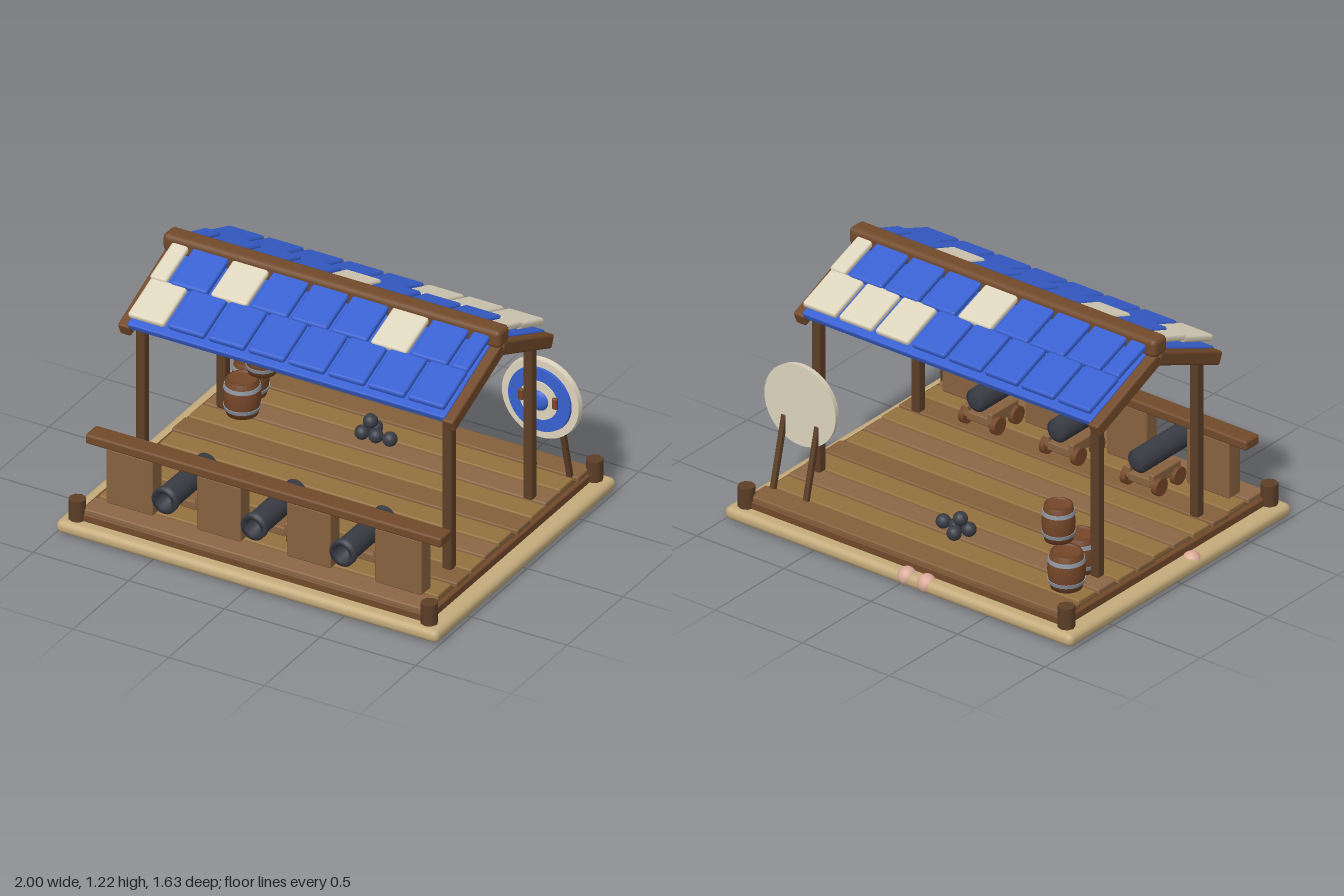
import * as THREE from 'three';
import { RoundedBoxGeometry } from 'three/addons/geometries/RoundedBoxGeometry.js';

const mat = (color) => new THREE.MeshStandardMaterial({ color });
const M = {
  sand: mat(0xc4ab7c), plankA: mat(0x94703f), plankB: mat(0x84603c), plankC: mat(0x8b6745),
  dark: mat(0x5d3f27), beam: mat(0x724a2b), panel: mat(0x87623f), blue: mat(0x3860d0),
  cream: mat(0xddd4bd), iron: mat(0x3a3c44), hoop: mat(0x8b939e), barrel: mat(0x744628),
  pink: mat(0xd9aa98),
};

function add(parent, name, geo, material, x = 0, y = 0, z = 0) {
  const m = new THREE.Mesh(geo, material);
  m.name = name;
  m.position.set(x, y, z);
  parent.add(m);
  return m;
}
const box = (w, h, d, r = 0.008) => new RoundedBoxGeometry(w, h, d, 2, r);
const cyl = (r0, r1, h, n = 16) => new THREE.CylinderGeometry(r0, r1, h, n);
function group(parent, name, x = 0, y = 0, z = 0) {
  const g = new THREE.Group();
  g.name = name;
  g.position.set(x, y, z);
  parent.add(g);
  return g;
}

// Sand slab, joists, planks and corner posts
function buildDeck(root) {
  const g = group(root, 'deck');
  add(g, 'base', box(2, 0.066, 1.62, 0.03), M.sand, 0, 0.042, 0);
  add(g, 'joistFrame', box(1.79, 0.05, 1.47), M.dark, 0, 0.09, 0);
  for (const s of [-1, 1]) {
    add(g, 'sideRim', box(0.035, 0.045, 1.44), M.beam, s * 0.9, 0.09, 0);
    add(g, 'endRim', box(1.8, 0.045, 0.03), M.beam, 0, 0.09, s * 0.735);
  }
  const woods = [M.plankB, M.plankA, M.plankC, M.plankA];
  for (let i = 0; i < 11; i++) {
    const w = 1.81 - (i * 7 % 4) * 0.012;
    add(g, 'plank', box(w, 0.03, 0.123), woods[i % 4], 0, 0.122, (i - 5) * 0.1364);
  }
  for (const x of [-0.92, 0.92]) for (const z of [-0.74, 0.74])
    add(g, 'cornerPost', cyl(0.041, 0.041, 0.11, 8), M.dark, x, 0.125, z);
}

// Front wall with gun openings
function buildParapet(root) {
  const g = group(root, 'parapet');
  for (const [x, w] of [[-0.703, 0.245], [-0.235, 0.23], [0.235, 0.23], [0.703, 0.245]])
    add(g, 'wallPanel', box(w, 0.285, 0.085), M.panel, x, 0.28, 0.607);
  add(g, 'rail', box(1.86, 0.05, 0.1, 0.012), M.beam, 0, 0.445, 0.607);
}

// Cannon on a wheeled carriage, muzzle toward +z
function buildCannon(root, x) {
  const g = group(root, 'cannon', x);
  const profile = [[0, -0.2], [0.035, -0.2], [0.058, -0.185], [0.058, 0.165], [0.065, 0.17],
    [0.065, 0.2], [0.04, 0.2], [0.036, 0.13], [0, 0.13]].map(p => new THREE.Vector2(...p));
  const barrel = add(g, 'cannonBarrel', new THREE.LatheGeometry(profile, 20), M.iron, 0, 0.3, 0.545);
  barrel.rotation.x = Math.PI / 2;
  barrel.material = M.iron;
  add(g, 'carriageBed', box(0.13, 0.045, 0.2), M.panel, 0, 0.2, 0.465);
  for (const s of [-1, 1])
    add(g, 'carriageCheek', box(0.03, 0.06, 0.2), M.panel, s * 0.07, 0.22, 0.465);
  for (const z of [0.4, 0.535]) {
    add(g, 'axle', cyl(0.014, 0.014, 0.19, 8), M.dark, 0, 0.183, z).rotation.z = Math.PI / 2;
    for (const s of [-1, 1])
      add(g, 'wheel', cyl(0.044, 0.044, 0.03, 12), M.barrel, s * 0.09, 0.184, z).rotation.z = Math.PI / 2;
  }
}

// Posts, gable beams, ridge and two shingled slopes
function buildRoof(root) {
  const g = group(root, 'roof');
  for (const x of [-0.8, 0.803]) for (const z of [-0.362, 0.362])
    add(g, 'roofPost', box(0.048, 0.85, 0.048), M.dark, x, 0.56, z);
  add(g, 'ridgeBeam', box(1.765, 0.092, 0.1, 0.025), M.beam, 0, 1.18, 0);
  const sides = [
    { turn: 0, lower: [0], upper: [0, 2, 6] },
    { turn: Math.PI, lower: [0, 1, 2], upper: [0, 4] },
  ];
  for (const { turn, lower, upper } of sides) {
    const s = group(g, 'roofSlope');
    s.rotation.y = turn;
    for (const x of [-0.847, 0.847])
      add(s, 'gableBeam', box(0.06, 0.068, 0.49, 0.012), M.beam, x, 1.025, 0.222).rotation.x = 0.4;
    add(s, 'roofBoard', box(1.66, 0.035, 0.49), M.blue, 0, 1.052, 0.222).rotation.x = 0.4;
    for (let i = 0; i < 8; i++)
      add(s, 'lowerShingle', box(0.19, 0.034, 0.235, 0.014),
        lower.includes(i) ? M.cream : M.blue, (i - 3.5) * 0.209, 1.058, 0.343).rotation.x = 0.37;
    for (let i = 0; i < 9; i++) {
      const end = i === 0 || i === 8;
      add(s, 'upperShingle', box(end ? 0.088 : 0.19, 0.034, 0.235, 0.014),
        upper.includes(i) ? M.cream : M.blue,
        end ? Math.sign(i - 4) * 0.787 : (i - 4) * 0.209, 1.147, 0.137).rotation.x = 0.35;
    }
  }
}

// Stave barrel with hoops, standing on y
function buildBarrel(root, x, y, z, r) {
  const g = group(root, 'barrel', x, y, z);
  const h = 0.178;
  const p = [[0, 0], [0.84, 0], [0.94, 0.22], [1, 0.5], [0.94, 0.78], [0.84, 1], [0.74, 1], [0.72, 0.95], [0, 0.95]]
    .map(([a, b]) => new THREE.Vector2(a * r, b * h));
  add(g, 'staves', new THREE.LatheGeometry(p, 20), M.barrel);
  for (const t of [0.2, 0.8])
    add(g, 'hoop', cyl(r * (t < 0.5 ? 1 : 0.95), r * (t < 0.5 ? 0.95 : 1), 0.018, 20), M.hoop, 0, t * h, 0);
}

// Round target facing +z, leaning on two legs
function buildTarget(root) {
  const g = group(root, 'target', 0.765, 0.56, -0.53);
  const disc = (name, r, depth, m, z) => {
    add(g, name, cyl(r * 0.98, r, depth, 40), m, 0, 0, z).rotation.x = Math.PI / 2;
  };
  disc('targetBack', 0.205, 0.028, M.cream, -0.003);
  disc('outerRing', 0.165, 0.014, M.blue, 0.016);
  disc('innerRing', 0.1, 0.012, M.cream, 0.022);
  const boss = add(g, 'boss', new THREE.SphereGeometry(0.053, 20, 12), M.blue, 0, 0, 0.022);
  boss.scale.z = 0.5;
  for (const s of [-1, 1]) {
    add(g, 'peg', box(0.028, 0.058, 0.02), M.barrel, s * 0.088, 0.01, 0.03);
    const leg = add(g, 'leg', box(0.026, 0.36, 0.026, 0.005), M.dark, s * 0.095, -0.255, -0.05);
    leg.rotation.x = 0.24;
  }
}

export function createModel() {
  const root = new THREE.Group();
  root.name = 'gunDeckShelter';
  buildDeck(root);
  buildParapet(root);
  for (const x of [-0.465, 0, 0.465]) buildCannon(root, x);
  buildRoof(root);
  buildBarrel(root, -0.755, 0.138, -0.53, 0.088);
  buildBarrel(root, -0.7, 0.138, -0.36, 0.088);
  buildBarrel(root, -0.652, 0.316, -0.458, 0.078);
  buildTarget(root);

  // Pile of shot
  const shot = group(root, 'cannonballs');
  for (const [x, y, z] of [[-0.115, 0.17, -0.43], [-0.085, 0.17, -0.5], [-0.045, 0.17, -0.435],
    [0.025, 0.17, -0.44], [-0.085, 0.225, -0.455]])
    add(shot, 'cannonball', new THREE.SphereGeometry(0.035, 16, 12), M.iron, x, y, z);

  // Shells on the sand edge
  for (const [x, z] of [[-0.145, -0.775], [-0.032, -0.775], [-0.95, 0.135]])
    add(root, 'shell', new THREE.SphereGeometry(0.046, 16, 12), M.pink, x, 0.05, z);
  return root;
}
